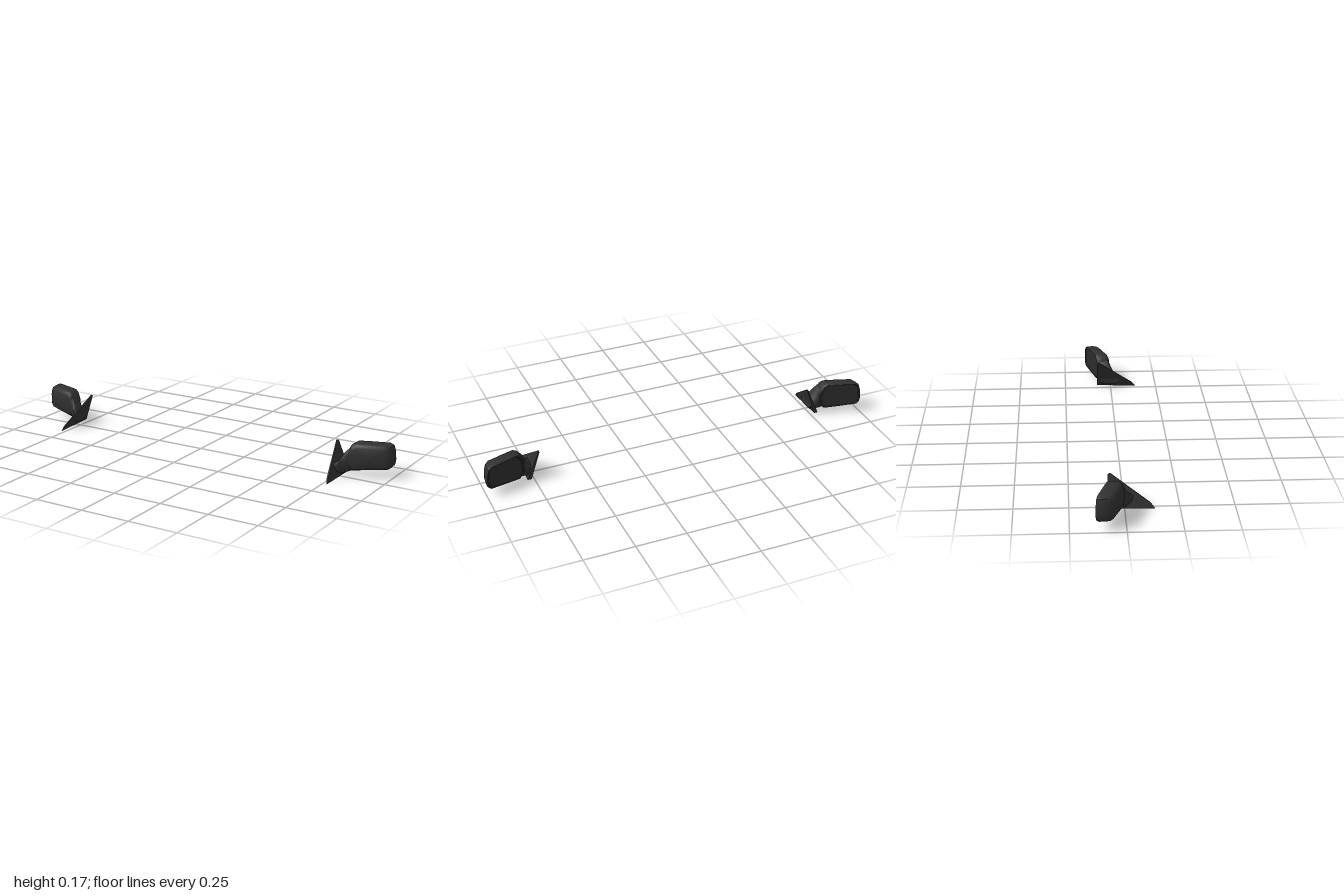
import * as THREE from 'three';
import { toCreasedNormals } from 'three/addons/utils/BufferGeometryUtils.js';

// Closed skin through equal-sized rings of [x, y, z], capped at both ends; side mirrors x
function loft(rings, side, crease) {
  const n = rings[0].length, pos = [], idx = [];
  rings.forEach(r => r.forEach(([x, y, z]) => pos.push(x * side, y, z)));
  for (let i = 0; i < rings.length - 1; i++) {
    for (let j = 0; j < n; j++) {
      const a = i * n + j, b = i * n + (j + 1) % n;
      idx.push(a, b, a + n, b, b + n, a + n);
    }
  }
  [0, rings.length - 1].forEach((i, end) => {
    const c = pos.length / 3;
    for (let k = 0; k < 3; k++) pos.push(rings[i].reduce((s, p) => s + p[k], 0) / n * (k ? 1 : side));
    for (let j = 0; j < n; j++) {
      const a = i * n + j, b = i * n + (j + 1) % n;
      idx.push(...(end ? [a, b, c] : [b, a, c]));
    }
  });
  // Turn the faces outward when the enclosed volume is negative
  const v = i => new THREE.Vector3().fromArray(pos, i * 3);
  let volume = 0;
  for (let i = 0; i < idx.length; i += 3) volume += v(idx[i]).dot(v(idx[i + 1]).cross(v(idx[i + 2])));
  if (volume < 0) idx.reverse();
  const g = new THREE.BufferGeometry();
  g.setAttribute('position', new THREE.Float32BufferAttribute(pos, 3));
  g.setIndex(idx);
  return toCreasedNormals(g, crease);
}

// Face outline of the mirror housing
const outline = [
  [0.795, 0.06], [0.795, 0.115], [0.812, 0.153], [0.832, 0.166], [0.9, 0.167], [0.972, 0.166], [0.989, 0.156],
  [0.998, 0.125], [1.0, 0.085], [0.996, 0.06], [0.982, 0.045], [0.9, 0.036], [0.82, 0.028],
];

// Outline scaled about its middle and swept back toward the outer end
const ring = (sx, sy, z) => outline.map(([x, y]) => {
  const px = 0.905 + (x - 0.905) * sx;
  return [px, 0.098 + (y - 0.098) * sy, z - 0.33 * (px - 0.8)];
});

// Eight-sided neck section at x
const neckRing = (x, y0, y1, z0, z1) => {
  const y = t => y0 + (y1 - y0) * t, z = t => z0 + (z1 - z0) * t;
  return [[0.2, 0], [0.8, 0], [1, 0.25], [1, 0.7], [0.8, 1], [0.2, 1], [0, 0.75], [0, 0.25]]
    .map(([a, b]) => [x, y(b), z(a)]);
};

export function createModel() {
  const black = new THREE.MeshStandardMaterial({ color: 0x303030 });
  black.name = 'black plastic';
  const dark = new THREE.MeshStandardMaterial({ color: 0x2b2b2b });
  dark.name = 'dark glass';

  const model = new THREE.Group();
  model.name = 'wingMirrors';
  for (const side of [1, -1]) {
    const mirror = new THREE.Group();
    mirror.name = side > 0 ? 'leftMirror' : 'rightMirror';
    const add = (name, rings, material, crease = 0.7) => {
      const mesh = new THREE.Mesh(loft(rings, side, crease), material);
      mesh.name = name;
      mirror.add(mesh);
    };

    // Rounded shell with a shallow recess at the back
    add('housing', [
      ring(0.76, 0.7, 0.004), ring(0.9, 0.87, -0.003), ring(0.97, 0.96, -0.014), ring(1, 1, -0.032),
      ring(1, 1, -0.062), ring(0.96, 0.96, -0.072), ring(0.9, 0.93, -0.072), ring(0.89, 0.92, -0.064),
    ], black);

    // Reflecting plate set into the recess
    add('mirrorGlass', [ring(0.87, 0.89, -0.062), ring(0.87, 0.89, -0.069)], dark, 0.4);

    // Neck flaring from the sail into the housing
    add('neck', [
      neckRing(0.752, 0.022, 0.068, 0.045, -0.055),
      neckRing(0.773, 0.014, 0.082, 0.025, -0.06),
      neckRing(0.79, 0.02, 0.118, 0.01, -0.064),
      neckRing(0.812, 0.027, 0.143, -0.002, -0.07),
      neckRing(0.835, 0.036, 0.15, -0.014, -0.075),
    ], black, 0.9);

    // Triangular sail leaning inward, thicker toward its foot
    const inner = [[0.769, 0, 0.137], [0.761, 0.025, 0.118], [0.718, 0.155, -0.063], [0.72, 0.15, -0.075], [0.766, 0.01, -0.075]];
    const thickness = [0.003, 0.006, 0.005, 0.006, 0.02];
    add('sail', [inner, inner.map(([x, y, z], i) => [x + thickness[i], y, z])], black, 0.5);

    model.add(mirror);
  }
  return model;
}
